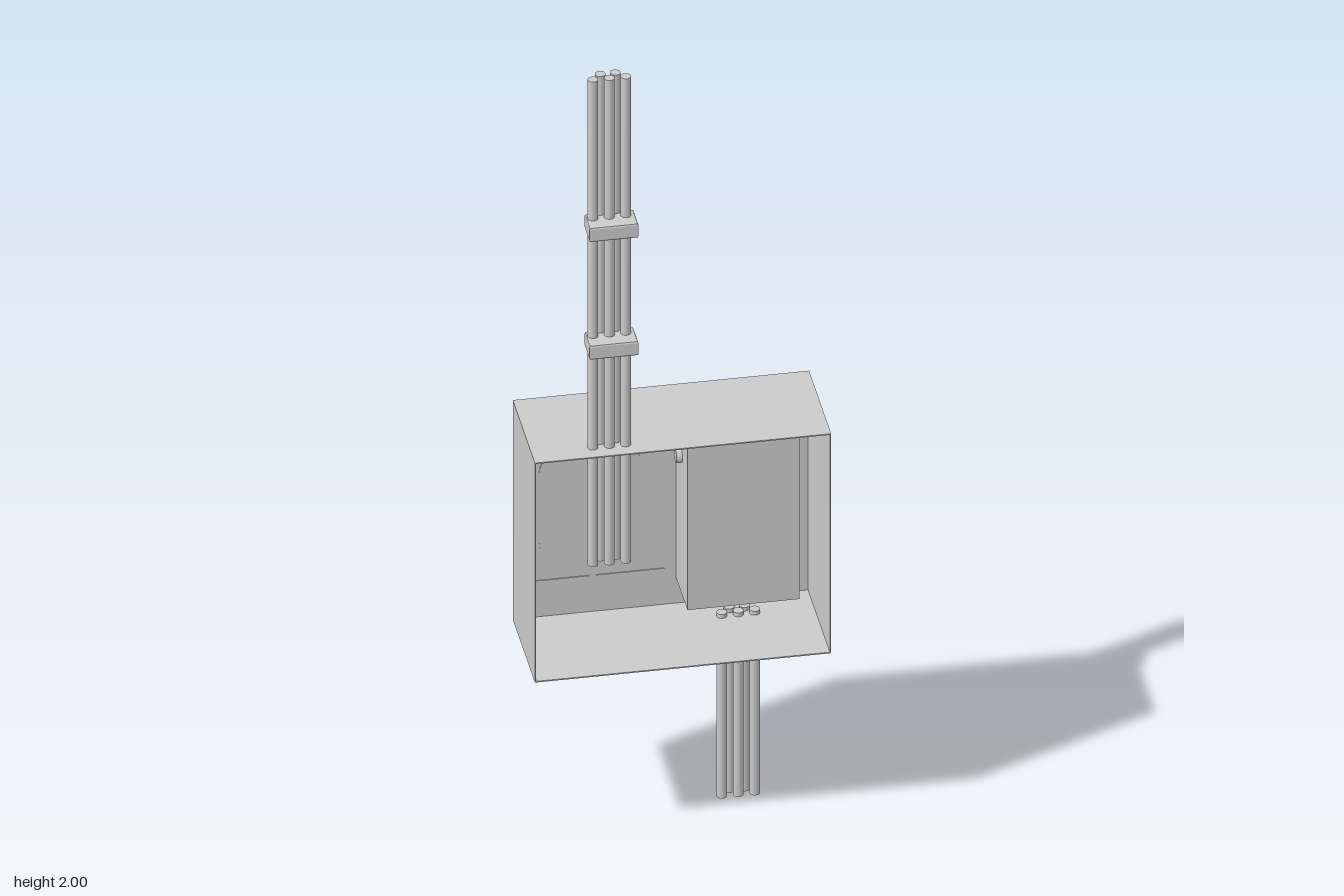
import * as THREE from 'three';

const material = new THREE.MeshStandardMaterial({ color: 0xcccccc, side: THREE.DoubleSide });

function add(parent, name, geometry, x = 0, y = 0, z = 0) {
  const mesh = new THREE.Mesh(geometry, material);
  mesh.name = name;
  mesh.position.set(x, y, z);
  parent.add(mesh);
  return mesh;
}

// Box given by its lower and upper corners
function boxBetween(parent, name, a, b) {
  const size = b.map((v, i) => v - a[i]);
  const mid = b.map((v, i) => (v + a[i]) / 2);
  return add(parent, name, new THREE.BoxGeometry(...size), ...mid);
}

// Rectangle outline with optional rounded corners
function rect(x0, y0, x1, y1, r = 0, Type = THREE.Shape) {
  const s = new Type();
  if (r === 0) {
    return s.moveTo(x0, y0).lineTo(x1, y0).lineTo(x1, y1).lineTo(x0, y1).lineTo(x0, y0);
  }
  s.absarc(x1 - r, y0 + r, r, -Math.PI / 2, 0);
  s.absarc(x1 - r, y1 - r, r, 0, Math.PI / 2);
  s.absarc(x0 + r, y1 - r, r, Math.PI / 2, Math.PI);
  s.absarc(x0 + r, y0 + r, r, Math.PI, Math.PI * 1.5);
  s.closePath();
  return s;
}

// Slab extruded between two z values
function slab(parent, name, shape, z0, z1) {
  const g = new THREE.ExtrudeGeometry(shape, { depth: z1 - z0, bevelEnabled: false, curveSegments: 8 });
  return add(parent, name, g, 0, 0, z0);
}

function rod(parent, name, r, length, x, y, z, axis = 'y') {
  const g = new THREE.CylinderGeometry(r, r, length, 16);
  if (axis === 'x') g.rotateZ(Math.PI / 2);
  if (axis === 'z') g.rotateX(Math.PI / 2);
  return add(parent, name, g, x, y, z);
}

// Five parallel conduits: three in one row, two nested behind
function conduits(parent, name, cx, cz, y0, y1) {
  const group = new THREE.Group();
  group.name = name;
  const offsets = [[-0.037, 0.01], [0, 0.01], [0.037, 0.01], [-0.017, -0.01], [0.017, -0.01]];
  for (const [dx, dz] of offsets) {
    rod(group, 'conduit', 0.012, y1 - y0, cx + dx, (y0 + y1) / 2, cz + dz);
  }
  parent.add(group);
}

export function createModel() {
  const model = new THREE.Group();

  // Housing: thin walls, open towards +z, window in the rear wall
  const housing = new THREE.Group();
  housing.name = 'housing';
  model.add(housing);
  const W = 0.333, B = 0.467, T = 1.04, Z0 = -0.103, Z1 = 0.163, t = 0.003;
  boxBetween(housing, 'leftWall', [W - t, B, Z0], [W, T, Z1]);
  boxBetween(housing, 'rightWall', [-W, B, Z0], [-W + t, T, Z1]);
  boxBetween(housing, 'floor', [-W + t, B, Z0], [W - t, B + t, Z1]);
  boxBetween(housing, 'roof', [-W + t, T - t, Z0], [W - t, T, Z1]);
  const rear = rect(-W + t, B + t, W - t, T - t);
  rear.holes.push(rect(0.035, 0.54, 0.283, 0.97, 0, THREE.Path));
  slab(housing, 'rearWall', rear, Z0, Z0 + t);

  // Recessed compartment behind the window
  const tray = new THREE.Group();
  tray.name = 'compartment';
  model.add(tray);
  const frame = rect(0.033, 0.538, 0.285, 0.972);
  frame.holes.push(rect(0.036, 0.541, 0.282, 0.969, 0, THREE.Path));
  slab(tray, 'compartmentSides', frame, Z0 + t, 0.04);
  slab(tray, 'compartmentBack', rect(0.033, 0.538, 0.285, 0.972), 0.037, 0.04);

  // Pipework and pegs in the compartment
  rod(tray, 'verticalPipe', 0.028, 0.36, 0.24, 0.725, -0.037);
  rod(tray, 'upperStub', 0.02, 0.11, 0.24, 0.93, -0.037);
  rod(tray, 'crossPipe', 0.017, 0.22, 0.13, 0.895, -0.037, 'x');
  const collar = [[0, -0.03], [0.045, -0.03], [0.055, -0.018], [0.055, 0.018], [0.045, 0.03], [0, 0.03]]
    .map(([r, y]) => new THREE.Vector2(r, y));
  for (const y of [0.573, 0.895]) {
    add(tray, 'pipeCollar', new THREE.LatheGeometry(collar, 16), 0.24, y, -0.037);
  }
  for (const y of [0.8, 0.69, 0.59]) {
    rod(tray, 'peg', 0.042, 0.085, 0.105, y, -0.005, 'z');
  }

  // Framed plates above and below the dial
  for (const [y0, y1] of [[0.5, 0.565], [0.945, 1.01]]) {
    for (const [x0, x1] of [[-0.315, -0.162], [-0.147, 0.007]]) {
      slab(model, 'plate', rect(x0, y0, x1, y1), -0.106, -0.098);
      const rim = rect(x0, y0, x1, y1);
      rim.holes.push(rect(x0 + 0.012, y0 + 0.012, x1 - 0.012, y1 - 0.012, 0, THREE.Path));
      slab(model, 'plateRim', rim, -0.112, -0.106);
    }
  }

  // Stepped rounded boss carrying the dial
  slab(model, 'bossBase', rect(-0.275, 0.6, -0.045, 0.91, 0.07), -0.131, -0.098);
  slab(model, 'bossStep', rect(-0.23, 0.655, -0.09, 0.855, 0.045), -0.142, -0.131);
  rod(model, 'dialNeck', 0.03, 0.022, -0.16, 0.755, -0.152, 'z');
  rod(model, 'dialCap', 0.042, 0.004, -0.16, 0.755, -0.163, 'z');

  // Conduits entering from above and below
  conduits(model, 'upperConduits', -0.158, 0.112, 0.735, 2);
  conduits(model, 'lowerConduits', 0.16, -0.04, 0, 0.48);

  // Clamps around the upper conduits
  const outline = [[-0.21, -0.163], [-0.1, -0.163], [-0.1, -0.102], [-0.142, -0.083], [-0.168, -0.083], [-0.21, -0.102]]
    .map(([x, y]) => new THREE.Vector2(x, y));
  for (const y of [1.6, 1.293]) {
    const g = new THREE.ExtrudeGeometry(new THREE.Shape(outline), {
      depth: 0.028, bevelThickness: 0.005, bevelSize: 0.005, bevelOffset: -0.005, bevelSegments: 2,
    });
    g.rotateX(-Math.PI / 2);
    add(model, 'clamp', g, 0, y + 0.005, 0);
  }

  return model;
}
